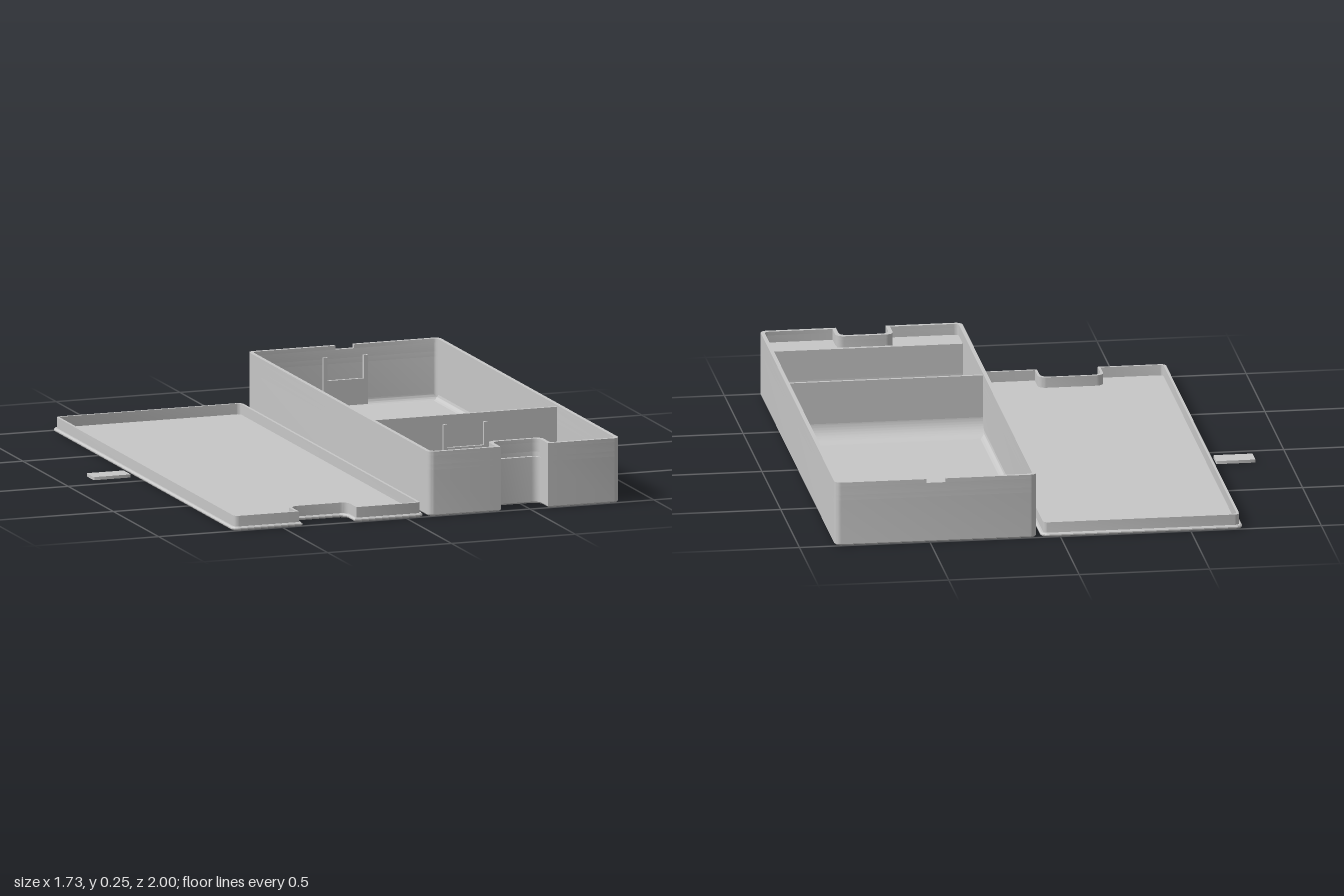
import * as THREE from 'three';
import { toCreasedNormals } from 'three/addons/utils/BufferGeometryUtils.js';

const FLOOR = 0.014;   // floor thickness of the tray
const RIM = 0.25;      // tray height
const WALL = 0.015;
const HALF_W = 0.387;  // half width of tray and lid
const TRAY_X = 0.477, LID_X = -0.313;

// Closed shape through [x, z, radius] corners; shape y is -z so it can be laid flat.
function roundedShape(corners) {
  const pts = [];
  corners.forEach(([x, z, r], i) => {
    const here = new THREE.Vector2(x, -z);
    if (!r) { pts.push(here); return; }
    const toward = (c) => new THREE.Vector2(c[0], -c[1]).sub(here).setLength(r).add(here);
    const a = toward(corners.at(i - 1));
    const b = toward(corners[(i + 1) % corners.length]);
    const centre = a.clone().add(b).sub(here);
    for (let k = 0; k <= 6; k++) {
      const t = (k / 6) * Math.PI / 2;
      pts.push(centre.clone()
        .addScaledVector(here.clone().sub(b), Math.cos(t))
        .addScaledVector(here.clone().sub(a), Math.sin(t)));
    }
  });
  return new THREE.Shape(pts);
}

// Tray / lid outline, inset by d, with the thumb notch in the front edge.
function outline(cx, d, notchHalf, notchBack = 0.9) {
  const w = HALF_W - d, e = 1 - d, n = notchHalf + d, b = notchBack - d;
  const r = 0.025 - d * 0.5;
  return roundedShape([
    [cx - w, -e, r], [cx + w, -e, r], [cx + w, e, r], [cx + n, e, 0],
    [cx + n, b, 0.03], [cx - n, b, 0.03], [cx - n, e, 0], [cx - w, e, r],
  ]);
}

// Extrude a flat shape upward from y0 to y1, with an optional chamfer.
function slab(shape, y0, y1, bevel = 0) {
  const g = new THREE.ExtrudeGeometry(shape, {
    depth: y1 - y0 - 2 * bevel, bevelEnabled: bevel > 0, bevelThickness: bevel,
    bevelSize: bevel, bevelOffset: -bevel, bevelSegments: 1,
  });
  g.rotateX(-Math.PI / 2).translate(0, y0 + bevel, 0);
  return toCreasedNormals(g, 0.5);
}

// Wall following the outline; the hole runs the opposite way so its faces point inward.
function ring(cx, d, thickness, notchHalf, y0, y1, notchBack) {
  const s = outline(cx, d, notchHalf, notchBack);
  const hole = outline(cx, d + thickness, notchHalf, notchBack);
  s.holes.push(new THREE.Path(hole.getPoints().reverse()));
  return slab(s, y0, y1);
}

// Concave quarter-round strip along z, its corner at the origin, opening to +x and +y.
function coveStrip(r, length) {
  const s = new THREE.Shape();
  s.moveTo(0, 0);
  s.lineTo(r, 0);
  s.absarc(r, r, r, -Math.PI / 2, -Math.PI, true);
  const g = new THREE.ExtrudeGeometry(s, { depth: length, bevelEnabled: false, curveSegments: 12 });
  return toCreasedNormals(g.translate(0, 0, -length / 2), 0.5);
}

export function createModel() {
  const model = new THREE.Group();
  const grey = new THREE.MeshStandardMaterial({ color: 0xc8c8c8 });
  grey.name = 'grey plastic';

  const add = (parent, name, geometry, x = 0, y = 0, z = 0, turn = 0) => {
    const m = new THREE.Mesh(geometry, grey);
    m.name = name;
    m.position.set(x, y, z);
    m.rotation.y = turn;
    parent.add(m);
  };
  const group = (name) => {
    const g = new THREE.Group();
    g.name = name;
    model.add(g);
    return g;
  };

  // Tray: chamfered floor and walls, with a groove across the notch
  const tray = group('tray');
  const half = 0.095;
  add(tray, 'trayFloor', slab(outline(TRAY_X, 0, half), 0, FLOOR, 0.006));
  add(tray, 'lowerWalls', ring(TRAY_X, 0, WALL, half, 0.007, 0.18));
  add(tray, 'grooveWalls', ring(TRAY_X, 0, WALL, half, 0.18, 0.2, 0.882));
  add(tray, 'upperWalls', ring(TRAY_X, 0, WALL, half, 0.2, 0.235));

  // Top band of the wall, open at the back for a small pry notch
  const inner = HALF_W - WALL, gap = 0.037;
  const band = (w, e, n, b, r) => [
    [TRAY_X + w, -e, r], [TRAY_X + w, e, r], [TRAY_X + n, e, 0], [TRAY_X + n, b, 0.03],
    [TRAY_X - n, b, 0.03], [TRAY_X - n, e, 0], [TRAY_X - w, e, r], [TRAY_X - w, -e, r],
  ];
  add(tray, 'rim', slab(roundedShape([
    [TRAY_X + gap, -1, 0], ...band(HALF_W, 1, half, 0.9, 0.025), [TRAY_X - gap, -1, 0],
    [TRAY_X - gap, -1 + WALL, 0],
    ...band(inner, 1 - WALL, half + WALL, 0.9 - WALL, 0.018).reverse(),
    [TRAY_X + gap, -1 + WALL, 0],
  ]), 0.235, RIM));

  // Raised ledge around the notch
  const f = 0.865, n = half + 0.012, w = inner + 0.005;
  add(tray, 'frontLedge', slab(roundedShape([
    [TRAY_X - w, f, 0], [TRAY_X + w, f, 0], [TRAY_X + w, 0.99, 0], [TRAY_X + n, 0.99, 0],
    [TRAY_X + n, 0.881, 0], [TRAY_X - n, 0.881, 0], [TRAY_X - n, 0.99, 0], [TRAY_X - w, 0.99, 0],
  ]), 0.008, 0.207));

  // Divider and the coves along the floor
  add(tray, 'divider', new THREE.BoxGeometry(2 * w, 0.235, 0.012), TRAY_X, 0.1255, 0.336);
  const wide = coveStrip(0.075, 2 * inner);
  add(tray, 'dividerCove', wide, TRAY_X, FLOOR, 0.331, Math.PI / 2);
  add(tray, 'frontCove', wide, TRAY_X, FLOOR, f, Math.PI / 2);
  add(tray, 'backCove', coveStrip(0.025, 2 * inner), TRAY_X, FLOOR, -1 + WALL, -Math.PI / 2);
  const side = coveStrip(0.02, f + 1 - WALL);
  const sideZ = (f - 1 + WALL) / 2;
  add(tray, 'rightCove', side, TRAY_X - inner, FLOOR, sideZ);
  add(tray, 'leftCove', side, TRAY_X + inner, FLOOR, sideZ, Math.PI);

  // U-shaped clip holders on the back wall and the divider
  const u = [[-0.09, 0], [0.09, 0], [0.09, 0.2], [0.073, 0.2], [0.073, 0.11],
    [-0.073, 0.11], [-0.073, 0.2], [-0.09, 0.2]];
  const holder = new THREE.ExtrudeGeometry(
    new THREE.Shape(u.map(([x, y]) => new THREE.Vector2(x, y))), { depth: 0.012, bevelEnabled: false });
  add(tray, 'backHolder', holder, TRAY_X, 0.008, -1 + WALL);
  add(tray, 'dividerHolder', holder, TRAY_X, 0.008, 0.341);

  // Lid lying face down, with its inner lip upward
  const lid = group('lid');
  add(lid, 'lidPlate', slab(outline(LID_X, 0, 0.105), 0, 0.014, 0.005));
  add(lid, 'lidLip', ring(LID_X, 0.011, 0.01, 0.105, 0.01, 0.055));

  // Loose latch tab
  add(model, 'latchTab', slab(roundedShape([
    [-0.87, -0.152, 0.006], [-0.72, -0.152, 0.006], [-0.72, -0.073, 0.006], [-0.87, -0.073, 0.006],
  ]), 0, 0.012));

  return model;
}
